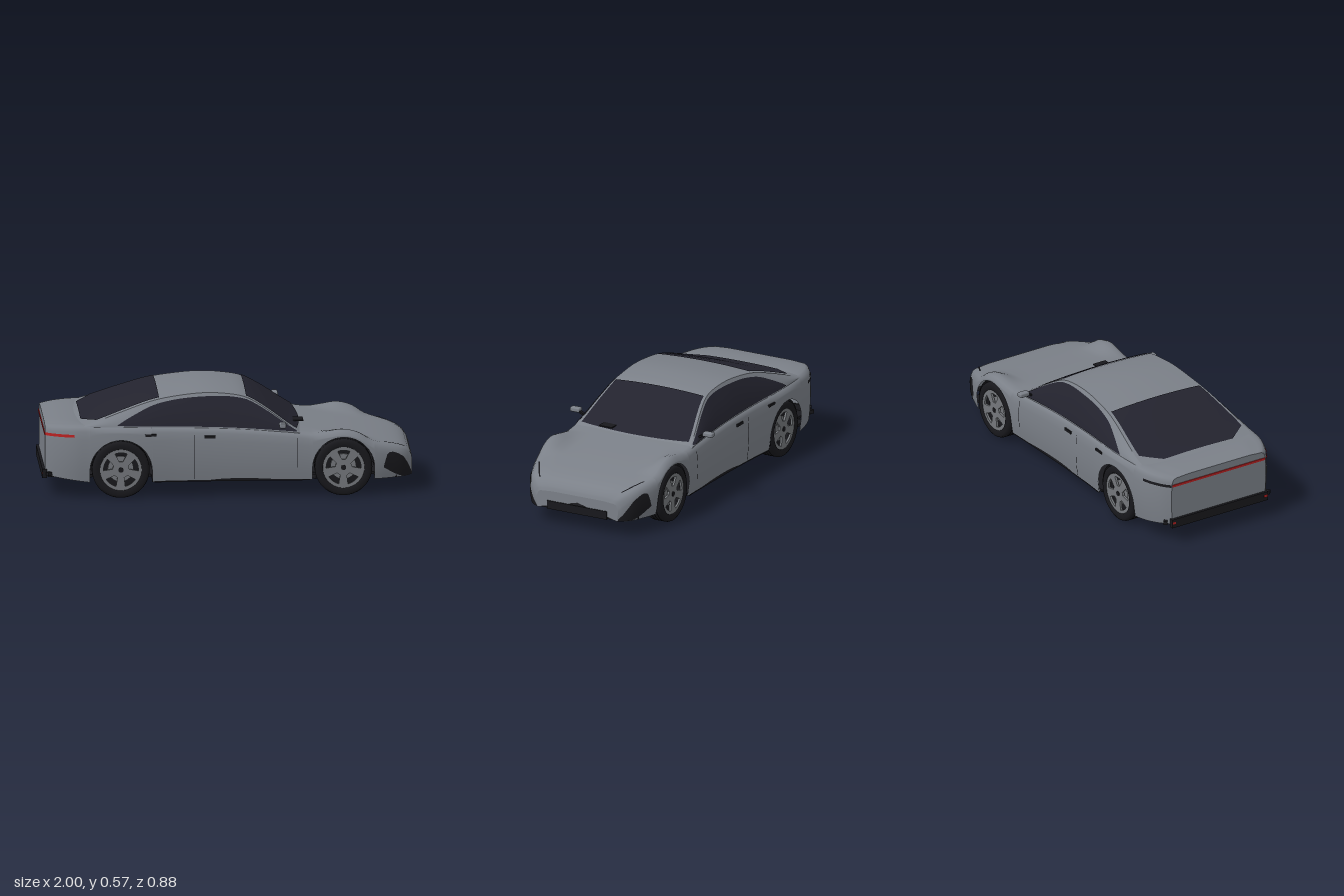
import * as THREE from 'three';
import { RoundedBoxGeometry } from 'three/addons/geometries/RoundedBoxGeometry.js';

const mat = (name, color) => new THREE.MeshStandardMaterial({ name, color, side: THREE.DoubleSide });
const paint = mat('body paint', 0x7b8088);
const glass = mat('dark glass', 0x23232e);
const black = mat('black trim', 0x18181c);
const alloy = mat('wheel alloy', 0x74777b);
const red = mat('tail light red', 0xb52020);

// Smooth curve y(x) through a few points
const curve = (...p) => {
  const slope = (i) => {
    const a = p[Math.max(i - 1, 0)], b = p[Math.min(i + 1, p.length - 1)];
    return (b[1] - a[1]) / (b[0] - a[0]);
  };
  return (x) => {
    x = Math.min(Math.max(x, p[0][0]), p[p.length - 1][0]);
    let i = 0;
    while (i < p.length - 2 && x > p[i + 1][0]) i++;
    const h = p[i + 1][0] - p[i][0], t = (x - p[i][0]) / h, t2 = t * t, t3 = t2 * t;
    return (2 * t3 - 3 * t2 + 1) * p[i][1] + (t3 - 2 * t2 + t) * h * slope(i)
      + (3 * t2 - 2 * t3) * p[i + 1][1] + (t3 - t2) * h * slope(i + 1);
  };
};
const lerp = THREE.MathUtils.lerp;

// Body lines along the car: half width, shoulder height, centre height
const FRONT = 0.995, REAR = -0.985;
const width = curve([-0.985, 0.305], [-0.95, 0.335], [-0.88, 0.37], [-0.8, 0.39], [-0.56, 0.405], [-0.26, 0.388],
  [0, 0.382], [0.4, 0.385], [0.62, 0.392], [0.78, 0.383], [0.88, 0.35], [0.945, 0.318], [0.98, 0.282], [0.995, 0.252]);
const shoulder = curve([-0.985, 0.388], [-0.9, 0.395], [-0.75, 0.398], [-0.5, 0.393], [0, 0.377], [0.36, 0.352],
  [0.46, 0.342], [0.53, 0.35], [0.62, 0.362], [0.7, 0.343], [0.77, 0.3], [0.9, 0.262], [0.96, 0.235], [0.985, 0.208], [0.995, 0.185]);
const centre = curve([-0.985, 0.393], [-0.9, 0.402], [-0.8, 0.399], [-0.7, 0.38], [0.3, 0.36], [0.41, 0.35],
  [0.62, 0.322], [0.77, 0.297], [0.9, 0.268], [0.96, 0.243], [0.985, 0.215], [0.995, 0.19]);
// Cabin lines: roof height, roof half width, top of the side windows
const roof = curve([-0.84, 0.394], [-0.73, 0.422], [-0.55, 0.485], [-0.4, 0.532], [-0.25, 0.557], [-0.12, 0.567],
  [0, 0.56], [0.1, 0.54], [0.2, 0.485], [0.33, 0.395], [0.41, 0.345]);
const roofHalf = curve([-0.84, 0.35], [-0.7, 0.348], [-0.37, 0.3], [-0.1, 0.283], [0.1, 0.286], [0.36, 0.348], [0.41, 0.352]);
const windowTop = curve([-0.6, 0.4], [-0.53, 0.44], [-0.38, 0.505], [-0.15, 0.537], [0.08, 0.525], [0.23, 0.457], [0.37, 0.365]);

const AXLES = [-0.58, 0.62], WHEEL_Y = 0.155, ARCH = 0.167;
const bottom = (x) => {
  for (const a of AXLES) {
    const d = Math.abs(x - a);
    if (d < ARCH) return WHEEL_Y + Math.sqrt(ARCH * ARCH - d * d);
  }
  return x < -0.74 ? lerp(0.088, 0.118, (-0.74 - x) / 0.245) : 0.088;
};
const sideZ = (x, y) => {
  const h = (y - 0.088) / (shoulder(x) - 0.088);
  return width(x) * (1 - 0.03 * (2 * h - 1.1) ** 2);
};
const topY = (x, q) => lerp(centre(x), shoulder(x), THREE.MathUtils.smoothstep(q, 0.6, 0.9));

export function createModel() {
  const car = new THREE.Group();
  car.name = 'car';

  const add = (name, geometry, material, x = 0, y = 0, z = 0, parent = car) => {
    const m = new THREE.Mesh(geometry, material);
    m.name = name;
    m.position.set(x, y, z);
    parent.add(m);
    return m;
  };
  const box = (name, material, x, y, z, w, h, d) => add(name, new THREE.BoxGeometry(w, h, d), material, x, y, z);
  // Surface through rows of points
  const surface = (name, material, rows) => {
    const n = rows[0].length, index = [];
    for (let i = 0; i < rows.length - 1; i++) for (let j = 0; j < n - 1; j++) {
      const a = i * n + j;
      index.push(a, a + 1, a + n, a + 1, a + n + 1, a + n);
    }
    const g = new THREE.BufferGeometry();
    g.setAttribute('position', new THREE.Float32BufferAttribute(rows.flat(2), 3));
    g.setIndex(index);
    g.computeVertexNormals();
    return add(name, g, material);
  };
  const patch = (name, material, nu, nv, fn) => surface(name, material,
    Array.from({ length: nu + 1 }, (_, i) => Array.from({ length: nv + 1 }, (_, j) => fn(i / nu, j / nv))));

  // Body shell with wheel arches
  const section = (x) => {
    const half = [], yb = bottom(x), ys = shoulder(x), w = width(x);
    for (let i = 0; i <= 6; i++) {
      const y = lerp(yb, ys - 0.03, i / 6);
      half.push([x, y, sideZ(x, y)]);
    }
    half.push([x, ys - 0.008, 0.955 * w]);
    for (const q of [0.9, 0.83, 0.76, 0.69, 0.6, 0.4, 0.2]) half.push([x, topY(x, q), q * w]);
    const other = half.map(([a, b, c]) => [a, b, -c]).reverse();
    return [...half, [x, centre(x), 0], ...other];
  };
  const stations = [REAR, FRONT, 0.97, 0.985, 0.99];
  for (let x = -0.97; x < 0.965; x += 0.02) stations.push(x);
  for (const a of AXLES) {
    for (const e of [0.1671, 0.1669, 0.165, 0.16]) stations.push(a - e, a + e);
  }
  stations.sort((a, b) => a - b);
  surface('bodyShell', paint, stations.map(section));
  for (const [name, x] of [['nosePanel', FRONT], ['tailPanel', REAR]]) {
    const s = section(x);
    surface(name, paint, [s, s.map(() => [x, 0.15, 0])]);
  }

  // Cabin: roof skin, windscreen and rear window
  const roofPoint = (x, q, lift = 0) => [x, roof(x) - 0.012 * q * q + lift, q * roofHalf(x)];
  const cabinX = (u) => lerp(-0.84, 0.41, u);
  patch('roof', paint, 50, 12, (u, v) => roofPoint(cabinX(u), 2 * v - 1));
  patch('windscreen', glass, 16, 16, (u, v) => {
    const q = 0.95 * (2 * v - 1);
    return roofPoint(lerp(0.1, 0.395 - 0.03 * q * q, u), q, 0.005);
  });
  patch('rearWindow', glass, 16, 24, (u, v) => {
    const q = 0.95 * (2 * v - 1);
    const end = -0.79 + 0.08 * Math.max(0, (Math.abs(q) - 0.63) / 0.32);
    return roofPoint(lerp(-0.37, end, u), q, 0.005);
  });

  for (const s of [1, -1]) {
    const side = s > 0 ? 'right' : 'left';
    // Cabin sides and side windows
    const cabinSide = (x, t, lift = 0) => [x, lerp(shoulder(x) - 0.01, roof(x) - 0.012, t),
      s * (lerp(0.945 * width(x), roofHalf(x), t) + 0.008 * Math.sin(Math.PI * t) + lift)];
    patch(side + 'CabinSide', paint, 50, 6, (u, v) => cabinSide(cabinX(u), v));
    patch(side + 'SideWindow', glass, 40, 6, (u, v) => {
      const x = lerp(-0.6, 0.37, u), y0 = shoulder(x) - 0.01, h = roof(x) - 0.012 - y0;
      const low = Math.min(0.012 / h, 0.9);
      const top = Math.max(low, Math.min((windowTop(x) - y0) / h, 0.95));
      return cabinSide(x, lerp(low, top, v), 0.005);
    });

    // Thin plates that follow the body side
    const sidePlate = (name, material, x0, x1, low, high) => patch(side + name, material, 16, 4, (u, v) => {
      const x = lerp(x0, x1, u), y = lerp(low(x), high(x), v);
      return [x, y, s * (sideZ(x, y) + 0.004)];
    });
    const flat = (y) => () => y;
    sidePlate('CornerIntake', black, 0.837, 0.994,
      curve([0.837, 0.15], [0.93, 0.096], [0.994, 0.09]),
      curve([0.837, 0.155], [0.862, 0.228], [0.94, 0.205], [0.975, 0.15], [0.994, 0.1]));
    sidePlate('TailLight', s > 0 ? red : black, REAR, -0.83, flat(0.337), flat(0.352));
    sidePlate('DoorSeam', black, -0.187, -0.183, flat(0.1), flat(0.345));
    sidePlate('FrontDoorSeam', black, 0.368, 0.372, flat(0.16), flat(0.32));
    sidePlate('RearDoorSeam', black, -0.412, -0.408, flat(0.09), flat(0.16));
    sidePlate('Sill', black, -0.4, 0.44, flat(0.086), flat(0.094));
    box(side + 'RearHandle', black, -0.42, 0.347, s * (sideZ(-0.42, 0.347) + 0.002), 0.06, 0.012, 0.01);
    box(side + 'FrontHandle', black, -0.1, 0.332, s * (sideZ(-0.1, 0.332) + 0.002), 0.06, 0.014, 0.01);

    // Slim headlight on the nose edge
    patch(side + 'Headlight', black, 10, 2, (u, v) => {
      const x = lerp(0.84, 0.955, u), q = lerp(0.9, 0.83, u) - 0.025 * v;
      return [x, topY(x, q) + 0.004, s * q * width(x)];
    });

    // Door mirror
    add(side + 'Mirror', new RoundedBoxGeometry(0.036, 0.026, 0.06, 2, 0.008), paint, 0.29, 0.398, s * 0.411);
    const stalk = box(side + 'MirrorStalk', black, 0.295, 0.382, s * 0.366, 0.02, 0.01, 0.06);
    stalk.rotation.x = -s * 0.45;
  }

  // Nose, tail and windscreen details
  box('lowerIntake', black, 0.996, 0.112, 0, 0.008, 0.046, 0.37);
  box('tailLightBar', red, REAR - 0.001, 0.345, 0, 0.006, 0.013, 0.6);
  box('rearBumper', black, -0.988, 0.125, 0, 0.024, 0.05, 0.62);
  for (const s of [1, -1]) {
    box('bumperReflector', red, -0.997, 0.128, s * 0.295, 0.008, 0.012, 0.02);
    box('bumperEnd', black, -0.955, 0.128, s * 0.322, 0.05, 0.02, 0.02).rotation.y = s * 0.65;
  }
  box('wiper', black, 0.375, 0.378, 0.16, 0.075, 0.006, 0.08);

  // Underbody
  for (const [x0, x1, half] of [[-0.97, -0.75, 0.3], [-0.75, -0.41, 0.25], [-0.41, 0.45, 0.37], [0.45, 0.79, 0.25], [0.79, 0.985, 0.25]]) {
    box('floorPanel', black, (x0 + x1) / 2, x0 < -0.9 ? 0.112 : 0.096, 0, x1 - x0, 0.014, half * 2);
  }
  for (const s of [1, -1]) {
    box('frontFloorCorner', black, 0.85, 0.096, s * 0.28, 0.12, 0.014, 0.1);
    box('rearFloorCorner', black, -0.8, 0.112, s * 0.32, 0.1, 0.014, 0.08);
  }
  box('driveUnit', glass, 0.6, 0.073, 0, 0.14, 0.04, 0.102);
  box('rearUnderTray', glass, -0.64, 0.086, 0, 0.2, 0.012, 0.3);
  const pipe = add('underPipe', new THREE.CylinderGeometry(0.013, 0.013, 0.06, 12), black, 0.485, 0.066, 0.098);
  pipe.rotation.z = -0.3;

  // Wheels, wells and axles
  const tyreProfile = [[0.112, -0.045], [0.116, -0.052], [0.14, -0.052], [0.151, -0.045], [0.155, -0.034]];
  for (const g of [-0.02, 0, 0.02]) {
    tyreProfile.push([0.155, g - 0.004], [0.15, g - 0.003], [0.15, g + 0.003], [0.155, g + 0.004]);
  }
  tyreProfile.push([0.155, 0.034], [0.151, 0.045], [0.14, 0.052], [0.116, 0.052], [0.112, 0.045]);
  const tyreGeo = new THREE.LatheGeometry(tyreProfile.map(([r, y]) => new THREE.Vector2(r, y)), 48).rotateX(Math.PI / 2);

  const face = new THREE.Shape().absarc(0, 0, 0.115, 0, Math.PI * 2, false);
  for (let i = 0; i < 5; i++) {
    const a = (i / 5) * Math.PI * 2 + 0.3;
    const hole = new THREE.Path();
    hole.absarc(0, 0, 0.094, a - 0.36, a + 0.36, false);
    hole.absarc(0, 0, 0.045, a + 0.22, a - 0.22, true);
    hole.closePath();
    face.holes.push(hole);
  }
  const rimGeo = new THREE.ExtrudeGeometry(face, { depth: 0.012, bevelEnabled: false, curveSegments: 32 });
  const disc = (r, depth) => new THREE.CylinderGeometry(r, r, depth, 32).rotateX(Math.PI / 2);
  const linerGeo = new THREE.CylinderGeometry(0.165, 0.165, 0.12, 32, 1, true, Math.PI / 2, Math.PI).rotateX(Math.PI / 2);
  const wellGeo = new THREE.CircleGeometry(0.165, 32, 0, Math.PI);

  for (const x of AXLES) {
    add('axle', disc(0.014, 0.6), black, x, WHEEL_Y - 0.03, 0);
    for (const s of [1, -1]) {
      const wheel = new THREE.Group();
      wheel.name = (x > 0 ? 'front' : 'rear') + (s > 0 ? 'Right' : 'Left') + 'Wheel';
      wheel.position.set(x, WHEEL_Y, s * 0.334);
      if (s < 0) wheel.rotation.y = Math.PI;
      car.add(wheel);
      add('tyre', tyreGeo, black, 0, 0, 0, wheel);
      add('rim', rimGeo, alloy, 0, 0, 0.034, wheel);
      add('rimBack', disc(0.113, 0.03), black, 0, 0, -0.01, wheel);
      add('brakeDisc', disc(0.07, 0.012), alloy, 0, 0, 0.012, wheel);
      add('hubCap', disc(0.014, 0.006), black, 0, 0, 0.046, wheel);
      add('wheelArchLiner', linerGeo, black, x, WHEEL_Y, s * 0.31);
      add('wheelWellWall', wellGeo, black, x, WHEEL_Y, s * 0.25);
    }
  }
  return car;
}
